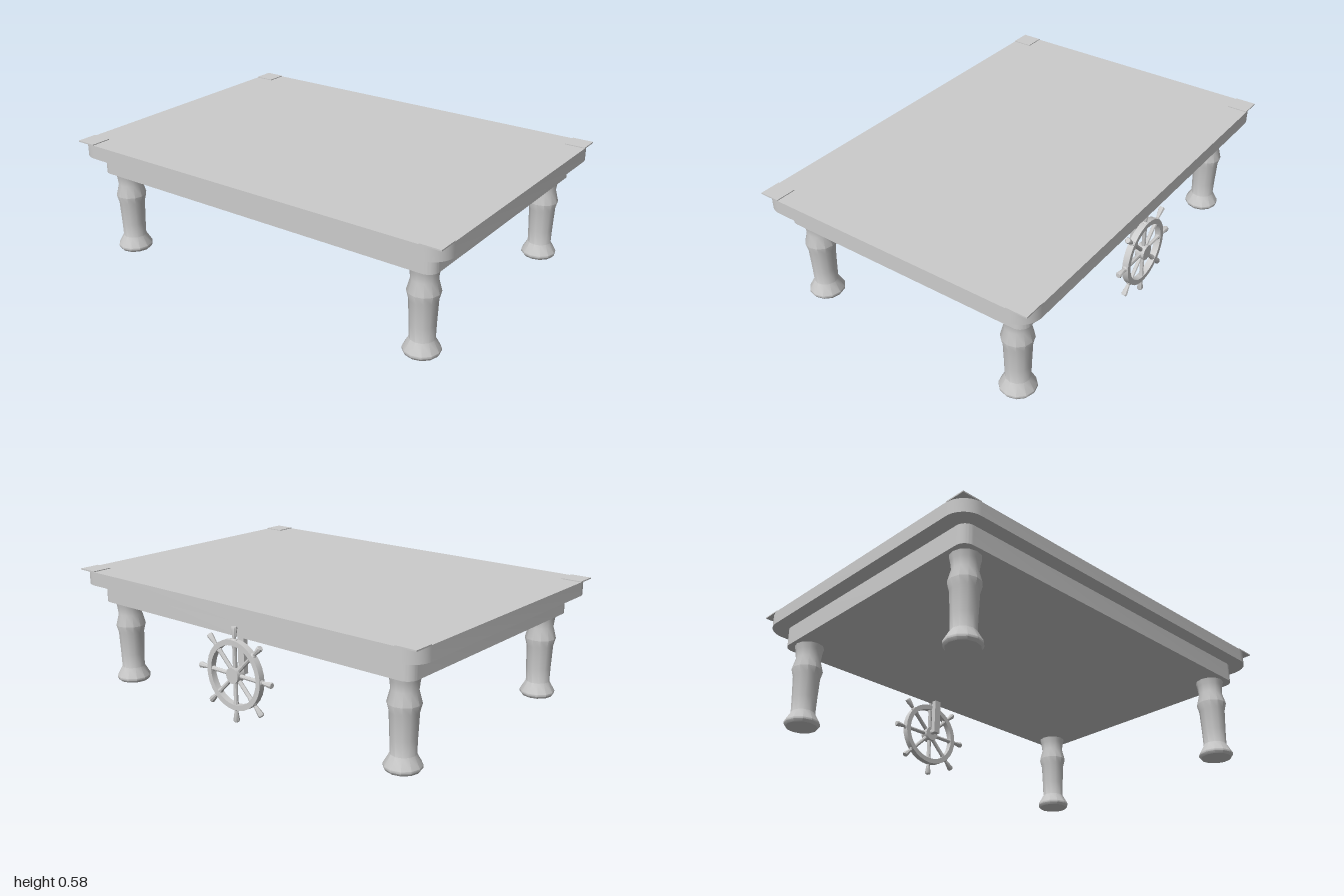
import * as THREE from 'three';
import { toCreasedNormals } from 'three/addons/utils/BufferGeometryUtils.js';

const grey = new THREE.MeshStandardMaterial({ color: 0xcccccc });
grey.name = 'stone grey';

function add(parent, name, geometry, x = 0, y = 0, z = 0) {
  const mesh = new THREE.Mesh(geometry, grey);
  mesh.name = name;
  mesh.position.set(x, y, z);
  parent.add(mesh);
  return mesh;
}

// Horizontal slab with rounded corners, standing on y = 0
function roundedSlab(halfX, halfZ, radius, height) {
  const s = new THREE.Shape();
  const x = halfX - radius, z = halfZ - radius;
  s.absarc(x, z, radius, 0, Math.PI / 2);
  s.absarc(-x, z, radius, Math.PI / 2, Math.PI);
  s.absarc(-x, -z, radius, Math.PI, Math.PI * 1.5);
  s.absarc(x, -z, radius, Math.PI * 1.5, Math.PI * 2);
  s.closePath();
  const g = new THREE.ExtrudeGeometry(s, { depth: height, bevelEnabled: false, curveSegments: 6 });
  g.rotateX(-Math.PI / 2);
  return toCreasedNormals(g, 0.6);
}

// Turned solid from [radius, height] pairs
function turned(profile, segments) {
  const pts = profile.map(([r, y]) => new THREE.Vector2(r, y));
  return toCreasedNormals(new THREE.LatheGeometry(pts, segments), 0.65);
}

function createWheel() {
  const wheel = new THREE.Group();
  wheel.name = 'wheel';

  // Square-section rim
  const rim = turned([[0.138, -0.015], [0.163, -0.015], [0.163, 0.015], [0.138, 0.015], [0.138, -0.015]], 32);
  rim.rotateX(Math.PI / 2);
  add(wheel, 'rim', rim);

  const hub = new THREE.CylinderGeometry(0.037, 0.037, 0.044, 12);
  hub.rotateX(Math.PI / 2);
  add(wheel, 'hub', hub);

  // Spokes run through the rim and end in flared handles
  const spoke = turned([
    [0, 0.02], [0.01, 0.02], [0.01, 0.125], [0.014, 0.14], [0.014, 0.163],
    [0.008, 0.168], [0.015, 0.215], [0.012, 0.222], [0, 0.222],
  ], 8);
  for (let i = 0; i < 8; i++) {
    add(wheel, 'spoke', spoke).rotation.z = (i * Math.PI) / 4;
  }
  return wheel;
}

export function createModel() {
  const model = new THREE.Group();
  model.name = 'table';

  // Top, with the apron beneath
  add(model, 'tableTop', roundedSlab(1, 0.713, 0.1, 0.067), 0, 0.505, 0);
  add(model, 'apron', roundedSlab(0.928, 0.645, 0.05, 0.095), 0, 0.411, 0);

  // Thin square plates on the corners and turned legs
  const plate = new THREE.BoxGeometry(0.1, 0.006, 0.1);
  const leg = turned([
    [0, 0], [0.074, 0], [0.083, 0.012], [0.083, 0.022], [0.056, 0.07],
    [0.058, 0.14], [0.063, 0.25], [0.073, 0.288], [0.058, 0.345],
    [0.063, 0.385], [0.07, 0.415], [0, 0.415],
  ], 12);
  for (const sx of [-1, 1]) {
    for (const sz of [-1, 1]) {
      add(model, 'cornerPlate', plate, sx * 0.95, 0.573, sz * 0.663);
      add(model, 'leg', leg, sx * 0.84, 0, sz * 0.555);
    }
  }

  // Wheel hung on a bracket behind the table
  const wheel = createWheel();
  wheel.position.set(0, 0.238, -0.66);
  model.add(wheel);
  add(model, 'wheelBracket', new THREE.BoxGeometry(0.036, 0.185, 0.025), 0, 0.325, -0.61);
  const axle = new THREE.CylinderGeometry(0.014, 0.014, 0.06, 10);
  axle.rotateX(Math.PI / 2);
  add(model, 'axle', axle, 0, 0.245, -0.635);

  return model;
}
